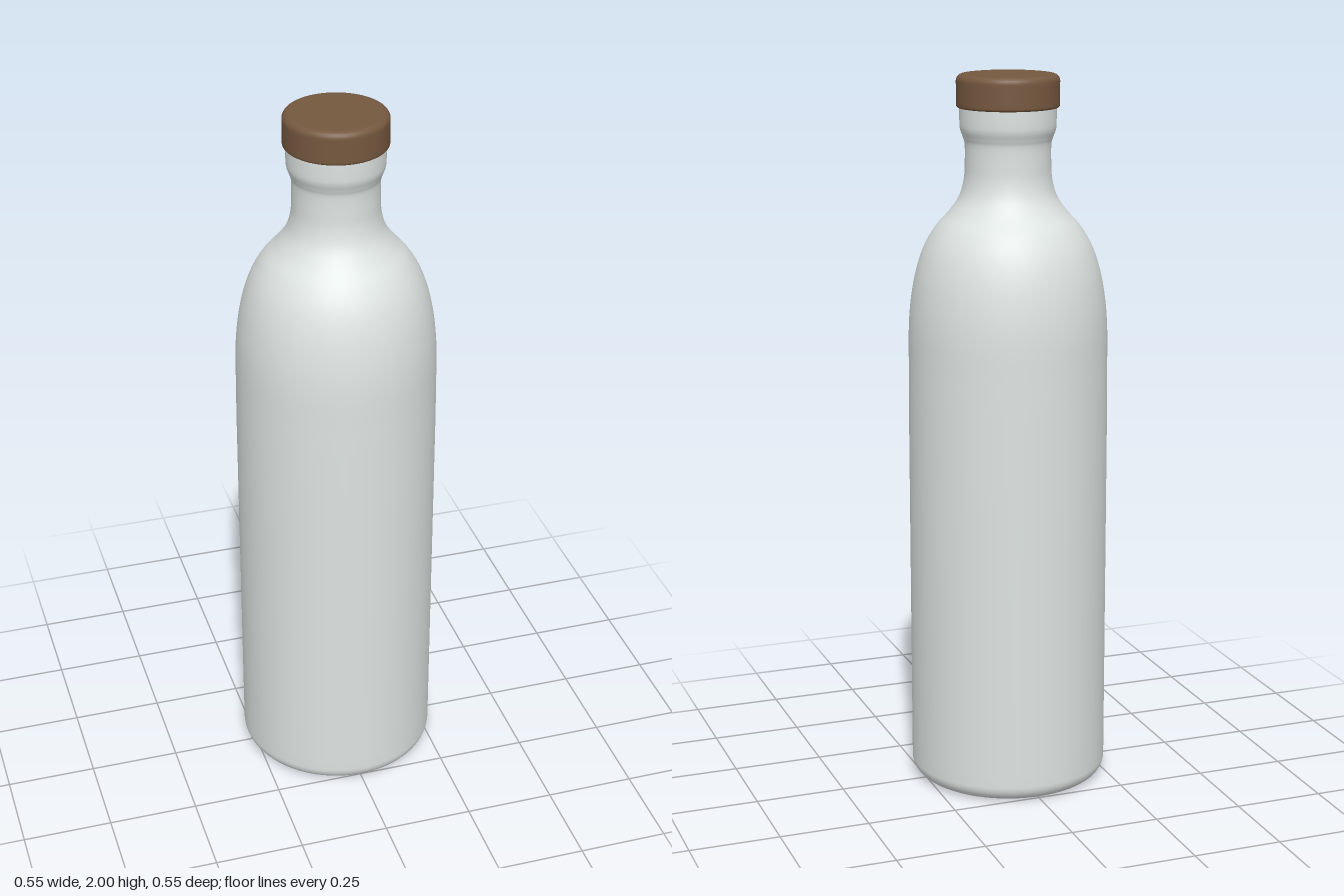
import * as THREE from 'three';

const SEGMENTS = 96;
const v = (x, y) => new THREE.Vector2(x, y);

// Quarter-round edge between angles a0 and a1 (degrees)
function arc(cx, cy, r, a0, a1, steps = 8) {
  return Array.from({ length: steps + 1 }, (_, i) => {
    const a = THREE.MathUtils.degToRad(a0 + ((a1 - a0) * i) / steps);
    return v(cx + r * Math.cos(a), cy + r * Math.sin(a));
  });
}

function turned(name, points, color) {
  const material = new THREE.MeshStandardMaterial({ color });
  const mesh = new THREE.Mesh(new THREE.LatheGeometry(points, SEGMENTS), material);
  mesh.name = name;
  return mesh;
}

export function createModel() {
  const group = new THREE.Group();
  group.name = 'bottle';

  // Shoulder, neck and mouth ring as one smooth curve
  const upper = new THREE.SplineCurve([
    v(0.276, 1.2), v(0.275, 1.3), v(0.269, 1.38), v(0.255, 1.46), v(0.232, 1.53),
    v(0.2, 1.585), v(0.162, 1.628), v(0.134, 1.67), v(0.121, 1.715), v(0.118, 1.76),
    v(0.118, 1.81), v(0.123, 1.83), v(0.13, 1.85), v(0.132, 1.87), v(0.132, 1.925),
  ]).getPoints(90);

  // Glass body: flat base, rounded foot, straight wall, then the upper curve
  group.add(turned('glassBody', [
    v(0, 0), v(0.22, 0), v(0.232, 0),
    ...arc(0.232, 0.045, 0.045, -90, 0),
    v(0.277, 0.08), v(0.277, 0.6), v(0.277, 1.1),
    ...upper,
  ], 0xdde3e1));

  // Cap with softened edges, closed underneath
  group.add(turned('cap', [
    v(0, 1.91), v(0.13, 1.91), v(0.133, 1.91),
    ...arc(0.134, 1.917, 0.007, -90, 0, 4),
    v(0.141, 1.925), v(0.141, 1.975),
    ...arc(0.123, 1.982, 0.018, 0, 90, 6),
    v(0.12, 2), v(0, 2),
  ], 0x75583f));

  return group;
}
